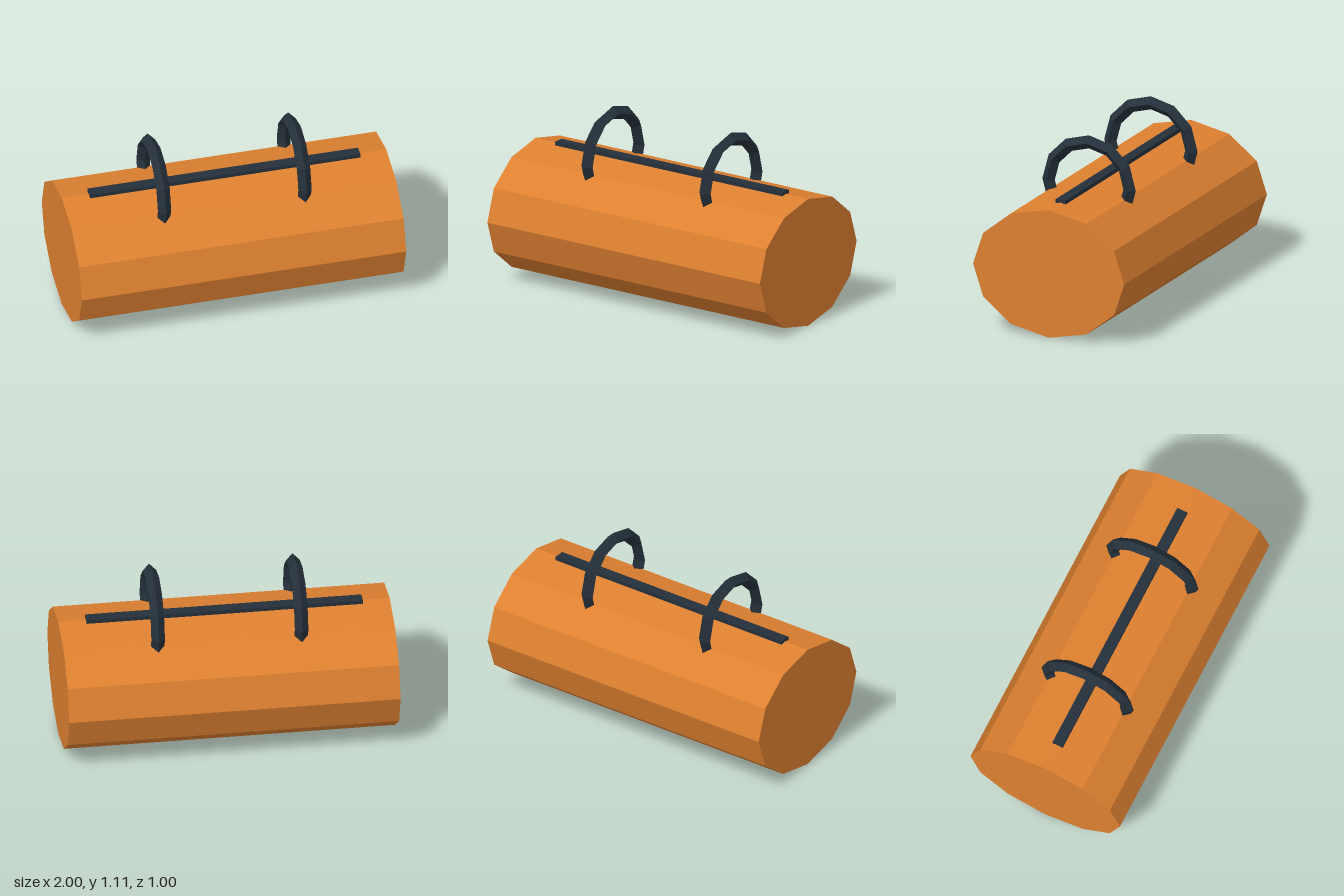
import * as THREE from 'three';

export function createModel() {
  const orange = new THREE.MeshStandardMaterial({ name: 'orange', color: 0xdd8030, flatShading: true });
  const dark = new THREE.MeshStandardMaterial({ name: 'dark slate', color: 0x25303a, flatShading: true });

  const group = new THREE.Group();
  group.name = 'duffelBag';

  const add = (name, geometry, material, x, y, z) => {
    const mesh = new THREE.Mesh(geometry, material);
    mesh.name = name;
    mesh.position.set(x, y, z);
    group.add(mesh);
  };

  // Bag body: twelve-sided barrel along x, flattened in height
  const body = new THREE.CylinderGeometry(1, 1, 2, 12);
  body.rotateZ(Math.PI / 2);
  body.scale(1, 0.4, 0.5);
  add('body', body, orange, 0, 0.4, 0);

  // Zip strip along the top ridge
  add('zip', new THREE.BoxGeometry(1.667, 0.034, 0.067), dark, 0, 0.8, 0);

  // Two carry handles: diamond-section hoops sunk into the body
  for (const side of [-1, 1]) {
    const hoop = new THREE.TorusGeometry(0.268, 0.041, 4, 12);
    hoop.rotateY(Math.PI / 2);
    add(side > 0 ? 'leftHandle' : 'rightHandle', hoop, dark, side * 0.433, 0.8, 0);
  }

  return group;
}
